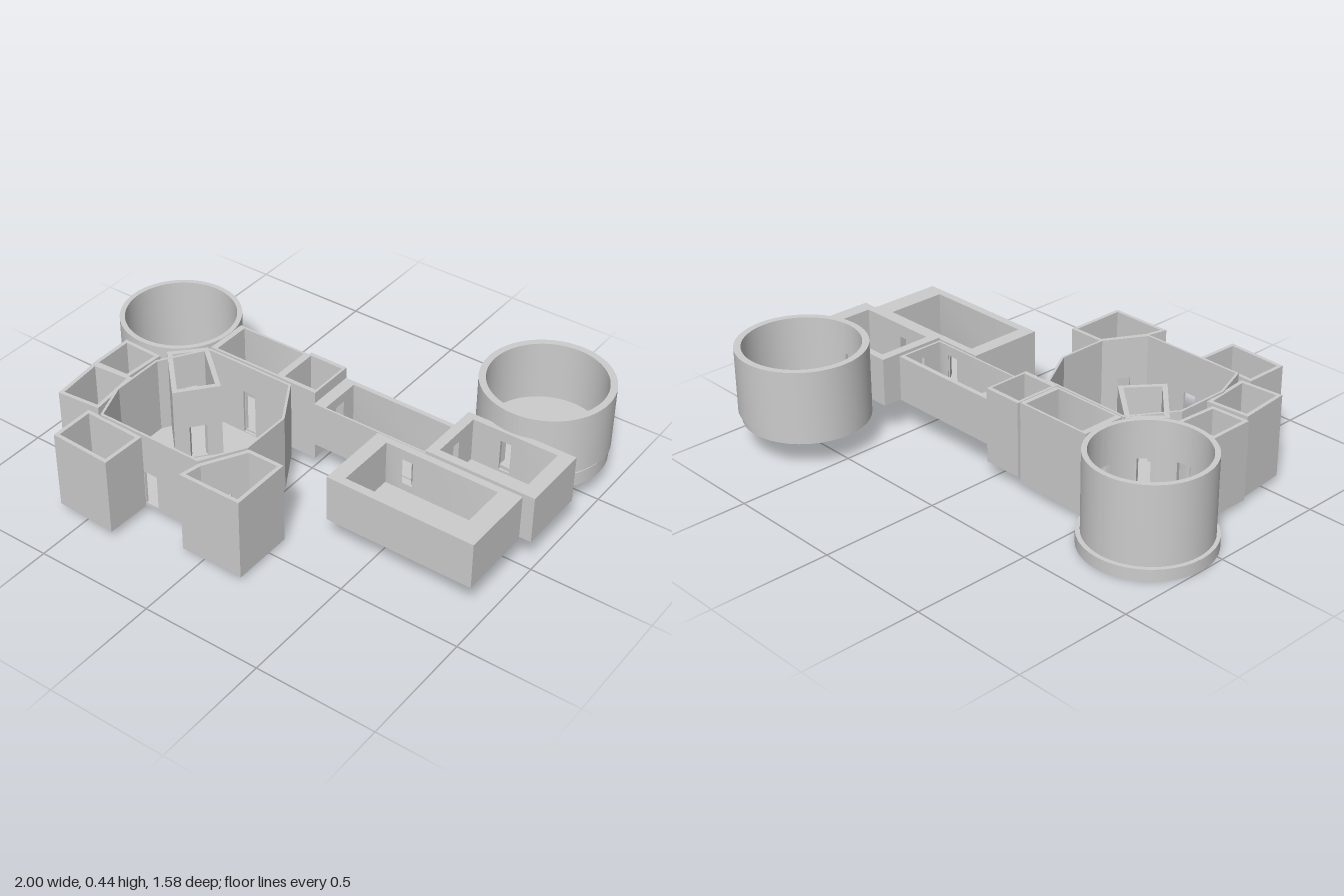
import * as THREE from 'three';
import { toCreasedNormals } from 'three/addons/utils/BufferGeometryUtils.js';

const stone = new THREE.MeshStandardMaterial({ color: 0xcccccc });
stone.name = 'pale grey stone';

// Upright prism from a plan shape drawn in (x, -z)
function prism(shape, y0, y1, name) {
  let g = new THREE.ExtrudeGeometry(shape, { depth: y1 - y0, bevelEnabled: false, curveSegments: 36 });
  g.rotateX(-Math.PI / 2);
  g.translate(0, y0, 0);
  g = toCreasedNormals(g, 0.5);
  const m = new THREE.Mesh(g, stone);
  m.name = name;
  return m;
}

const plan = (pts) => new THREE.Shape(pts.map(([x, z]) => new THREE.Vector2(x, -z)));
const mix = (a, b, t) => [a[0] + (b[0] - a[0]) * t, a[1] + (b[1] - a[1]) * t];
// Corner order gives edges: 0 back, 1 left (+x), 2 front, 3 right (-x)
const rect = (x0, x1, z0, z1) => [[x0, z0], [x1, z0], [x1, z1], [x0, z1]];

// Move every edge of a polygon (same order as rect) inward by d
function inset(pts, d) {
  const n = pts.length;
  return pts.map((p, i) => {
    const a = pts[(i + n - 1) % n], b = pts[(i + 1) % n];
    const u = new THREE.Vector2(p[0] - a[0], p[1] - a[1]).normalize();
    const v = new THREE.Vector2(b[0] - p[0], b[1] - p[1]).normalize();
    const k = d / (1 + u.dot(v));
    return [p[0] - (u.y + v.y) * k, p[1] + (u.x + v.x) * k];
  });
}

// Roofless room: floor plus walls; doors = { edge: [position 0..1, width, sill y, head y] }
function room(name, outer, inner, y0, y1, doors = {}) {
  const group = new THREE.Group();
  group.name = name;
  group.add(prism(plan(outer), y0, y0 + 0.012, 'floor'));
  const n = outer.length;
  outer.forEach((o, i) => {
    const j = (i + 1) % n, p = outer[j], a = inner[i], b = inner[j];
    const piece = (s, t, lo, hi, label) => {
      const quad = [s ? mix(a, b, s) : a, t < 1 ? mix(a, b, t) : b];
      group.add(prism(plan([s ? mix(o, p, s) : o, t < 1 ? mix(o, p, t) : p, quad[1], quad[0]]), lo, hi, label));
    };
    if (!doors[i]) return piece(0, 1, y0, y1, 'wall');
    const [c, w, sill, head] = doors[i];
    const h = w / Math.hypot(p[0] - o[0], p[1] - o[1]) / 2;
    piece(0, c - h, y0, y1, 'wall');
    piece(c + h, 1, y0, y1, 'wall');
    piece(c - h, c + h, head, y1, 'lintel');
    if (sill > y0) piece(c - h, c + h, y0, sill, 'sill');
  });
  return group;
}

// Round tower: ring wall broken by doors at the given plan angles
function tower(name, x, z, R, r, y0, y1, doors, head) {
  const group = new THREE.Group();
  group.name = name;
  const arc = (a, b, lo, hi, label) => {
    const s = new THREE.Shape();
    s.absarc(0, 0, R, a, b, false);
    s.absarc(0, 0, r, b, a, true);
    group.add(prism(s, lo, hi, label));
  };
  const half = 0.03 / r;
  doors.forEach((d, i) => {
    const next = i + 1 < doors.length ? doors[i + 1] : doors[0] + Math.PI * 2;
    arc(d + half, next - half, y0, y1, 'roundWall');
    arc(d - half, d + half, head, y1, 'lintel');
  });
  group.position.set(x, 0, z);
  return group;
}

function disc(name, x, z, r, y0, y1) {
  const m = new THREE.Mesh(new THREE.CylinderGeometry(r, r, y1 - y0, 40), stone);
  m.name = name;
  m.position.set(x, (y0 + y1) / 2, z);
  return m;
}

export function createModel() {
  const model = new THREE.Group();
  model.name = 'rooflessRoomComplex';

  // Round towers on their base discs
  model.add(
    disc('westTowerBase', -0.735, -0.107, 0.264, 0, 0.05),
    tower('westTower', -0.735, -0.105, 0.247, 0.226, 0.045, 0.38, [-1.42, -0.71, 0], 0.22),
    disc('eastTowerBase', 0.728, -0.515, 0.257, 0.12, 0.18),
    tower('eastTower', 0.722, -0.527, 0.263, 0.235, 0.165, 0.435, [-Math.PI / 2], 0.3),
  );

  // Wing of rectangular rooms along the back
  model.add(
    room('westCorridor', rect(-0.49, -0.15, -0.185, 0.005), rect(-0.465, -0.17, -0.175, -0.005), 0.035, 0.378,
      { 1: [0.5, 0.06, 0.05, 0.25], 2: [0.42, 0.06, 0.05, 0.25], 3: [0.5, 0.06, 0.05, 0.22] }),
    room('stairRoom', rect(-0.15, 0.02, -0.198, 0.008), rect(-0.138, 0.01, -0.18, -0.01), 0.065, 0.38,
      { 1: [0.5, 0.06, 0.15, 0.29], 3: [0.5, 0.06, 0.077, 0.25] }),
    room('eastCorridor', rect(0.02, 0.535, -0.196, 0.014), rect(0.07, 0.52, -0.176, 0.006), 0.138, 0.332,
      { 1: [0.4, 0.06, 0.15, 0.29], 2: [0.17, 0.06, 0.18, 0.29], 3: [0.5, 0.06, 0.15, 0.29] }),
    room('eastRoom', rect(0.53, 0.997, -0.28, 0.015), rect(0.57, 0.935, -0.25, -0.02), 0.142, 0.345,
      { 0: [0.4, 0.06, 0.165, 0.3], 2: [0.6, 0.05, 0.19, 0.29], 3: [0.5, 0.05, 0.155, 0.3] }),
    room('frontEastRoom', rect(0.32, 0.95, 0.02, 0.345), rect(0.38, 0.865, 0.05, 0.31), 0.135, 0.335,
      { 0: [0.2, 0.06, 0.18, 0.29] }),
  );

  // Steps rising towards the east corridor
  for (let i = 0; i < 4; i++) {
    model.add(prism(plan(rect(-0.1 + i * 0.028, 0.012, -0.18, -0.01)), 0.07, 0.092 + i * 0.019, 'step'));
  }

  // Many-sided hall with a slanted passage inside
  const hall = [[-0.49, 0.012], [-0.09, 0.014], [0.02, 0.2], [0.02, 0.42], [-0.08, 0.592], [-0.55, 0.59], [-0.61, 0.43], [-0.61, 0.2]];
  model.add(room('hall', hall, inset(hall, 0.01), 0.035, 0.376, {
    0: [0.5, 0.06, 0.05, 0.25], 3: [0.5, 0.06, 0.05, 0.2], 4: [0.5, 0.06, 0.05, 0.2],
    5: [0.8, 0.06, 0.05, 0.2], 7: [0.6, 0.06, 0.05, 0.22],
  }));
  const passage = [[-0.5, 0.01], [-0.3, 0.18], [-0.42, 0.328], [-0.612, 0.13]];
  model.add(room('slantedPassage', passage, inset(passage, 0.02), 0.04, 0.375,
    { 1: [0.5, 0.07, 0.05, 0.2], 3: [0.5, 0.07, 0.05, 0.22] }));

  // Small side chambers around the hall
  const chambers = [
    ['rightBackChamber', [[-0.81, 0.145], [-0.63, 0.15], [-0.64, 0.335], [-0.81, 0.343]], 0.025, 0.36, { 0: [0.55, 0.06, 0.05, 0.22] }],
    ['rightFrontChamber', [[-0.797, 0.35], [-0.613, 0.335], [-0.588, 0.56], [-0.775, 0.576]], 0.025, 0.37, { 1: [0.5, 0.06, 0.05, 0.2] }],
    ['frontChamber', [[-0.615, 0.585], [-0.345, 0.594], [-0.35, 0.788], [-0.615, 0.776]], 0.035, 0.366, { 0: [0.6, 0.06, 0.05, 0.2] }],
    ['leftChamber', [[0.025, 0.42], [0.182, 0.42], [0.182, 0.684], [-0.09, 0.684], [-0.073, 0.595]], 0.017, 0.37, { 4: [0.5, 0.06, 0.05, 0.2] }],
  ];
  for (const [name, pts, y0, y1, doors] of chambers) {
    model.add(room(name, pts, inset(pts, 0.016), y0, y1, doors));
  }
  return model;
}
